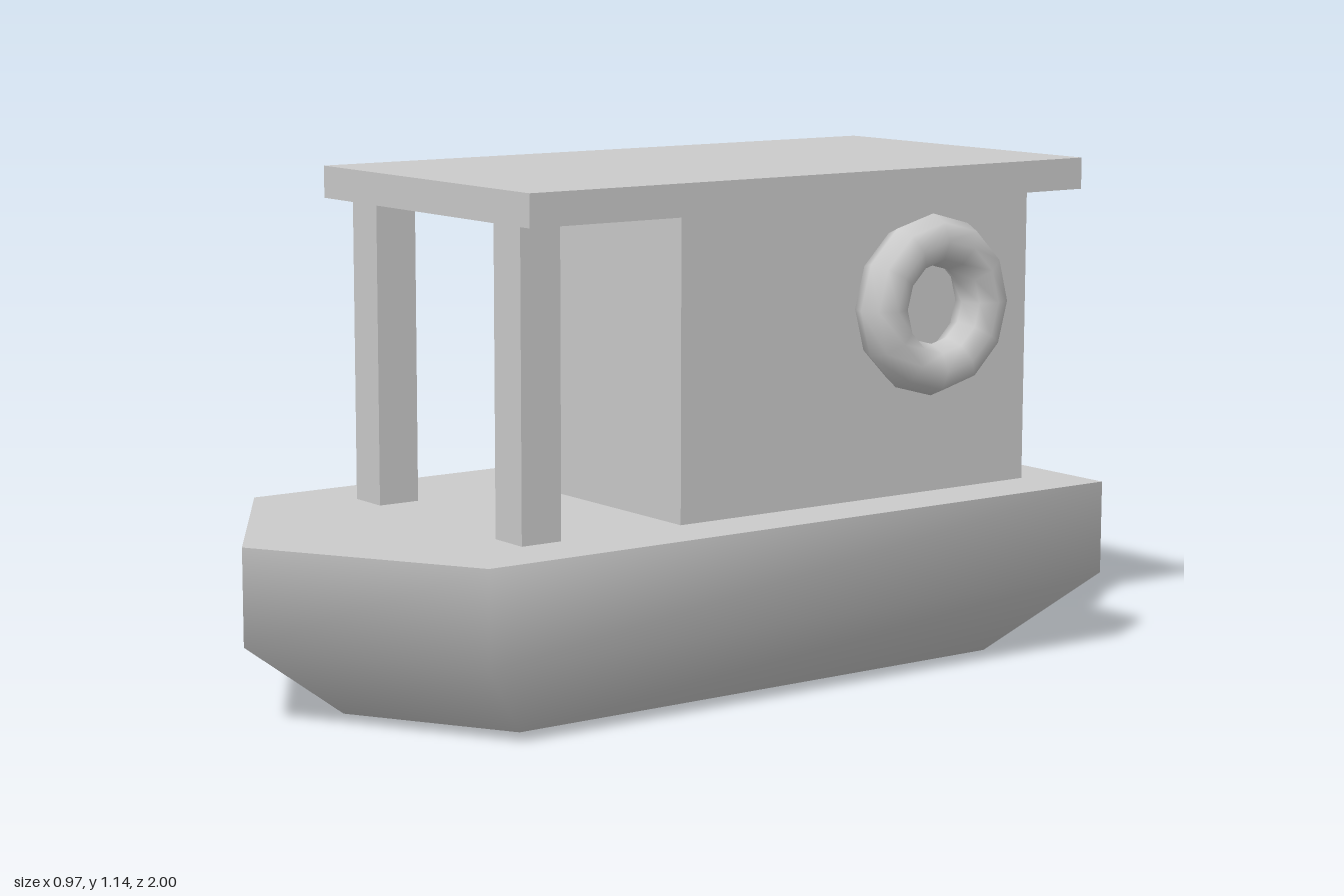
import * as THREE from 'three';

const material = new THREE.MeshStandardMaterial({ color: 0xcccccc });

function add(parent, name, geometry, x = 0, y = 0, z = 0) {
  const mesh = new THREE.Mesh(geometry, material);
  mesh.name = name;
  mesh.position.set(x, y, z);
  parent.add(mesh);
  return mesh;
}

// Five-sided plan: square stern, straight sides, pointed bow
const plan = (halfWidth, stern, shoulder, bow) => [
  [-halfWidth, stern], [-halfWidth, shoulder], [0, bow], [halfWidth, shoulder], [halfWidth, stern],
];

// Side shell through the stacked rings, smooth all the way round
function shellGeometry(rings) {
  const positions = [], index = [];
  const n = rings[0].points.length;
  rings.forEach(({ y, points }) => points.forEach(([x, z]) => positions.push(x, y, z)));
  for (let r = 0; r < rings.length - 1; r++) {
    for (let i = 0; i < n; i++) {
      const a = r * n + i, b = r * n + (i + 1) % n;
      index.push(a, b, b + n, a, b + n, a + n);
    }
  }
  const geometry = new THREE.BufferGeometry();
  geometry.setAttribute('position', new THREE.Float32BufferAttribute(positions, 3));
  geometry.setIndex(index);
  geometry.computeVertexNormals();
  return geometry;
}

// Flat cap over one plan, facing up or down
function capGeometry(points, up) {
  const shape = new THREE.Shape(points.map(([x, z]) => new THREE.Vector2(x, up ? -z : z)));
  return new THREE.ShapeGeometry(shape).rotateX(up ? -Math.PI / 2 : Math.PI / 2);
}

export function createModel() {
  const boat = new THREE.Group();
  boat.name = 'boat';

  // Hull with tapered underside
  const hull = new THREE.Group();
  hull.name = 'hull';
  boat.add(hull);
  const deckPlan = plan(0.485, -1, 0.7, 1);
  const bottomPlan = plan(0.353, -0.76, 0.54, 0.76);
  add(hull, 'hullSides', shellGeometry([
    { y: 0, points: bottomPlan },
    { y: 0.178, points: deckPlan },
    { y: 0.393, points: deckPlan },
  ]));
  add(hull, 'deck', capGeometry(deckPlan, true), 0, 0.393, 0);
  add(hull, 'hullBottom', capGeometry(bottomPlan, false));

  // Cabin, roof and the two front posts
  add(boat, 'cabin', new THREE.BoxGeometry(0.68, 0.68, 0.99), 0, 0.73, -0.385);
  add(boat, 'roof', new THREE.BoxGeometry(0.824, 0.072, 1.53), 0, 1.106, -0.217);
  for (const side of [-1, 1]) {
    add(boat, side > 0 ? 'leftPost' : 'rightPost',
      new THREE.BoxGeometry(0.1, 0.68, 0.1), side * 0.285, 0.73, 0.47);
  }

  // Lifebuoy hung on the cabin wall
  const lifebuoy = new THREE.TorusGeometry(0.147, 0.0585, 8, 12).rotateY(Math.PI / 2);
  add(boat, 'lifebuoy', lifebuoy, 0.402, 0.832, -0.543);

  return boat;
}
